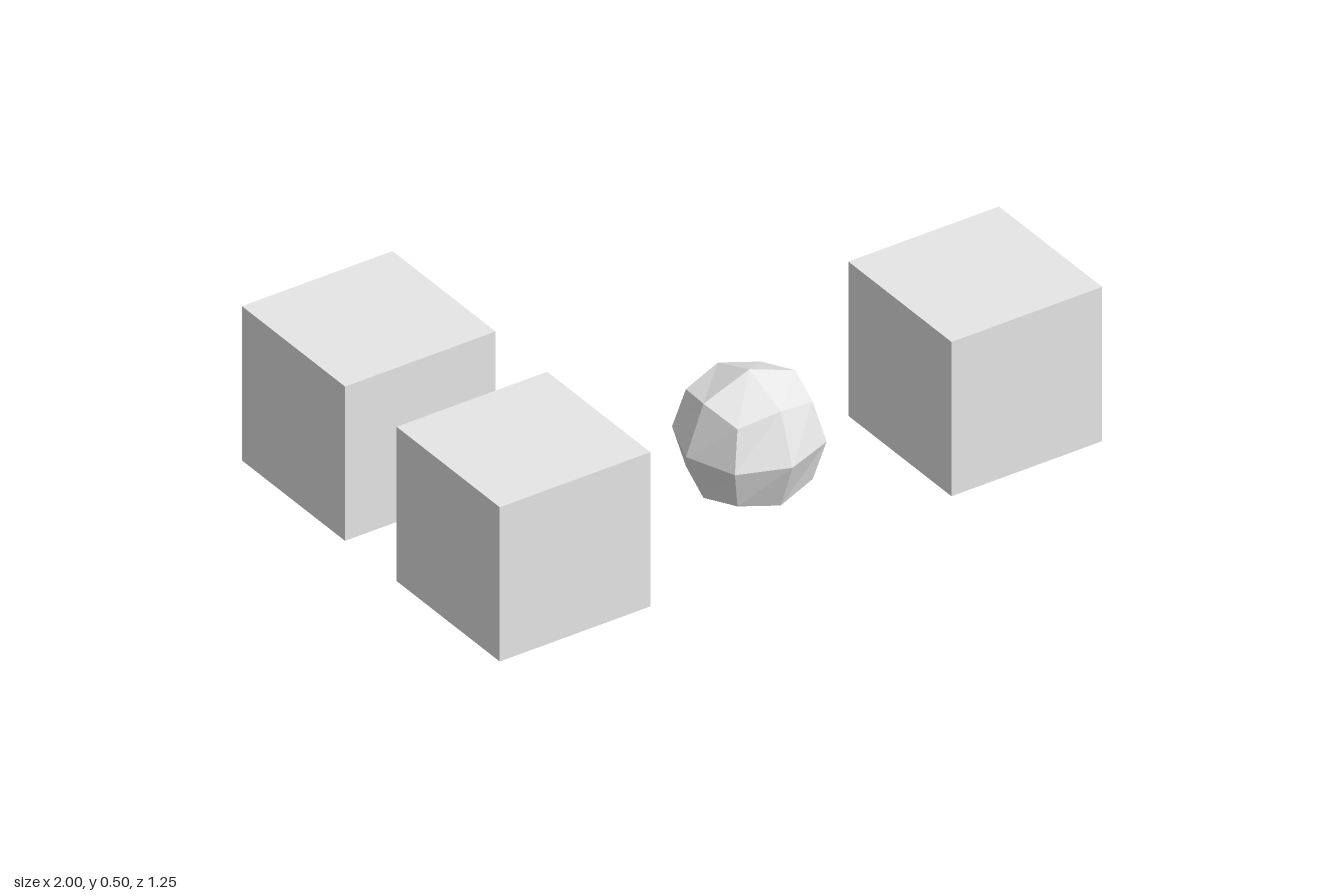
import * as THREE from 'three';

export function createModel() {
  const model = new THREE.Group();
  const grey = new THREE.MeshStandardMaterial({ color: 0xe7e7e7, flatShading: true });
  grey.name = 'light grey';

  const add = (name, geometry, x, y, z) => {
    const mesh = new THREE.Mesh(geometry, grey);
    mesh.name = name;
    mesh.position.set(x, y, z);
    model.add(mesh);
  };

  // Three equal cubes on an L-shaped layout
  const cube = new THREE.BoxGeometry(0.5, 0.5, 0.5);
  add('frontRightCube', cube, -0.75, 0.25, 0.375);
  add('backRightCube', cube, -0.75, 0.25, -0.375);
  add('frontLeftCube', cube, 0.75, 0.25, 0.375);

  // Ball: a cube split 2 x 2 per face and rounded by vertex type
  // (face centre, edge middle, corner)
  const ball = new THREE.BoxGeometry(2, 2, 2, 2, 2, 2);
  const reach = [0, 0.21, 0.1524, 0.125];
  const pos = ball.attributes.position;
  const v = new THREE.Vector3();
  for (let i = 0; i < pos.count; i++) {
    v.fromBufferAttribute(pos, i).round();
    const type = Math.abs(v.x) + Math.abs(v.y) + Math.abs(v.z);
    v.multiplyScalar(reach[type]);
    pos.setXYZ(i, v.x, v.y, v.z);
  }
  ball.computeVertexNormals();
  add('facetedBall', ball, 0, 0.25, 0.375);

  return model;
}
